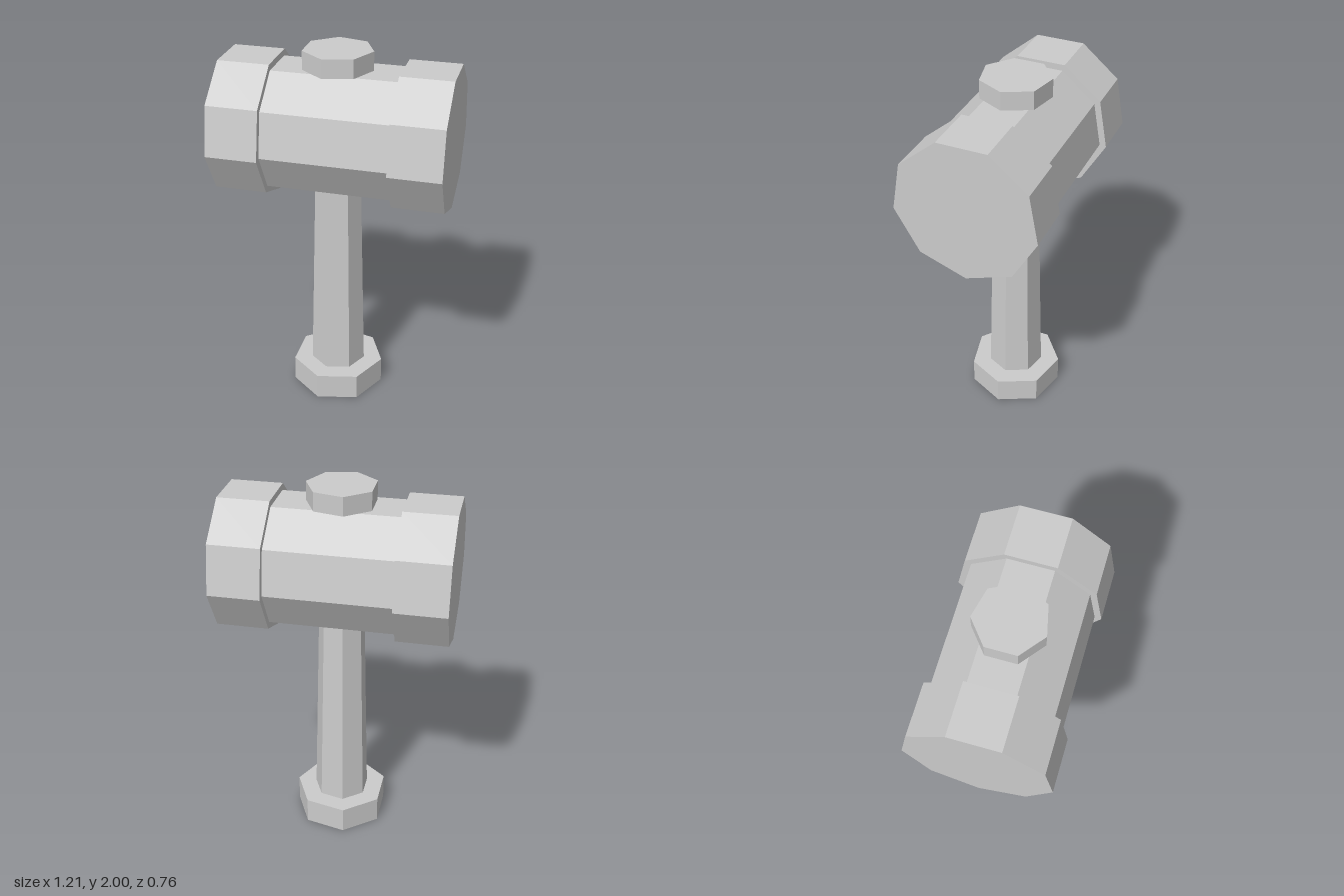
import * as THREE from 'three';

const material = new THREE.MeshStandardMaterial({ color: 0xcccccc, flatShading: true });
const HANDLE_X = -0.008; // the handle sits a touch off the head's centre
const HEAD_Y = 1.569;

function addPart(group, name, geometry) {
  const mesh = new THREE.Mesh(geometry, material);
  mesh.name = name;
  group.add(mesh);
}

// Seven-sided upright prism with a corner pointing to +x
function upright(rBottom, rTop, y0, y1) {
  return new THREE.CylinderGeometry(rTop, rBottom, y1 - y0, 7, 1, false, Math.PI / 2)
    .translate(HANDLE_X, (y0 + y1) / 2, 0);
}

// Nine-sided prism lying along x with a corner pointing down
function lying(radius, x0, x1) {
  return new THREE.CylinderGeometry(radius, radius, x1 - x0, 9, 1, false, -Math.PI / 2)
    .rotateZ(Math.PI / 2)
    .translate((x0 + x1) / 2, HEAD_Y, 0);
}

export function createModel() {
  const hammer = new THREE.Group();
  hammer.name = 'hammer';

  // Handle: pommel, tapered shaft running through the head, and top cap
  addPart(hammer, 'pommel', upright(0.257, 0.257, 0, 0.145));
  addPart(hammer, 'shaft', upright(0.153, 0.109, 0.145, 1.9));
  addPart(hammer, 'topCap', upright(0.185, 0.185, 1.9, 2));

  // Head: slimmer core between two wider striking ends
  addPart(hammer, 'headCore', lying(0.348, -0.331, 0.331));
  addPart(hammer, 'leftStrikingEnd', lying(0.384, 0.331, 0.606));
  addPart(hammer, 'rightStrikingEnd', lying(0.384, -0.606, -0.331));

  return hammer;
}
